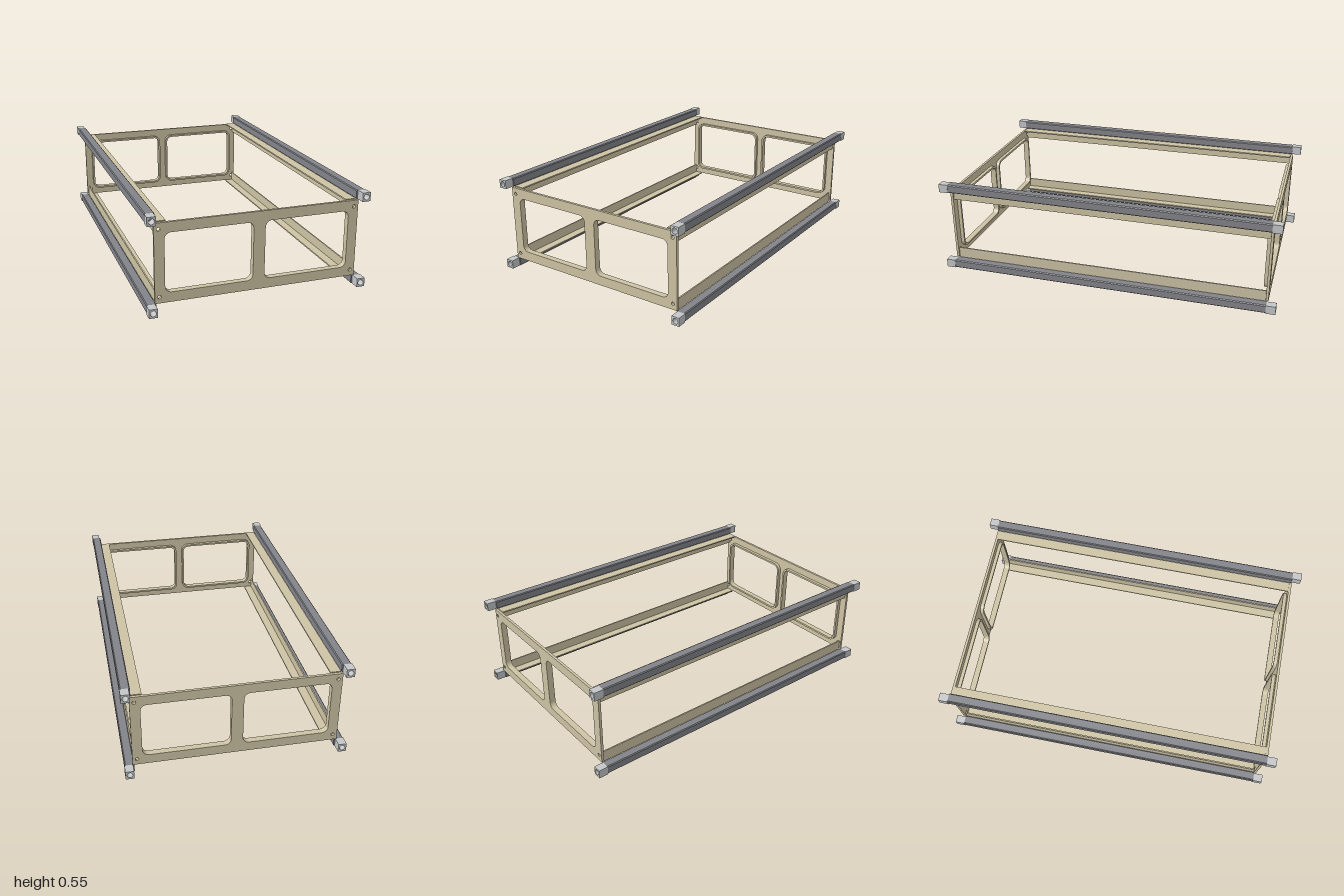
import * as THREE from 'three';

const mat = (name, color) => {
  const m = new THREE.MeshStandardMaterial({ color });
  m.name = name;
  return m;
};

// Rounded rectangle outline, usable as a shape or as a hole
function roundRect(Kind, x0, y0, x1, y1, r) {
  const p = new Kind();
  p.absarc(x1 - r, y0 + r, r, -Math.PI / 2, 0);
  p.absarc(x1 - r, y1 - r, r, 0, Math.PI / 2);
  p.absarc(x0 + r, y1 - r, r, Math.PI / 2, Math.PI);
  p.absarc(x0 + r, y0 + r, r, Math.PI, Math.PI * 1.5);
  p.closePath();
  return p;
}

const polygon = pts => new THREE.Shape(pts.map(([x, y]) => new THREE.Vector2(x, y)));

const circleHole = (x, y, r) => {
  const p = new THREE.Path();
  p.absarc(x, y, r, 0, Math.PI * 2, true);
  return p;
};

// Extrude a shape drawn in x,y from z0 to z1
function extrude(shape, z0, z1) {
  const g = new THREE.ExtrudeGeometry(shape, { depth: z1 - z0, bevelEnabled: false, curveSegments: 8 });
  g.translate(0, 0, z0);
  return g;
}

export function createModel() {
  const tan = mat('tan sheet metal', 0xcdc3a4);
  const dark = mat('dark grey rail', 0x83848a);
  const light = mat('light grey cap', 0xc4c6c7);
  const root = new THREE.Group();
  root.name = 'frame';
  const add = (parent, name, geo, m) => {
    const mesh = new THREE.Mesh(geo, m);
    mesh.name = name;
    parent.add(mesh);
  };

  // End panels: plate with two windows, and a raised rim behind each window
  const plate = polygon([[-0.573, 0.055], [0.573, 0.055], [0.573, 0.497], [-0.573, 0.497]]);
  const rims = [];
  for (const [a, b] of [[-0.517, -0.033], [0.033, 0.517]]) {
    plate.holes.push(roundRect(THREE.Path, a, 0.111, b, 0.44, 0.035));
    const rim = roundRect(THREE.Shape, a - 0.012, 0.099, b + 0.012, 0.452, 0.045);
    rim.holes.push(roundRect(THREE.Path, a, 0.111, b, 0.44, 0.035));
    rims.push(extrude(rim, 0.917, 0.938));
  }
  for (const x of [-0.548, 0.548])
    for (const y of [0.09, 0.462]) plate.holes.push(circleHole(x, y, 0.01));
  const plateGeo = extrude(plate, 0.938, 0.953);
  for (const [name, turn] of [['frontPanel', 0], ['backPanel', Math.PI]]) {
    const panel = new THREE.Group();
    panel.name = name;
    panel.rotation.y = turn;
    add(panel, 'plate', plateGeo, tan);
    rims.forEach(g => add(panel, 'windowRim', g, tan));
    root.add(panel);
  }

  // Bottom left corner profile; the other three are turned about the frame's long axis or end for end
  const angle = polygon([[0.505, 0.048], [0.564, 0.048], [0.564, 0.113],
    [0.556, 0.113], [0.556, 0.056], [0.505, 0.056]]);
  const c = 0.005, x0 = 0.563, x1 = 0.616, h = 0.05;
  const rail = polygon([[x0 + c, 0], [x1 - c, 0], [x1, c], [x1, h - c],
    [x1 - c, h], [x0 + c, h], [x0, h - c], [x0, c]]);
  const cap = polygon([[0.571, 0], [0.618, 0], [0.618, h], [0.571, h]]);
  cap.holes.push(circleHole(0.5945, 0.025, 0.016));
  const angleGeo = extrude(angle, -0.937, 0.937);
  const railGeo = extrude(rail, -0.945, 0.945);
  const capGeos = [extrude(cap, 0.945, 1), extrude(cap, -1, -0.945)];

  for (const [name, rx, ry] of [['bottomLeftRail', 0, 0], ['bottomRightRail', 0, Math.PI],
    ['topLeftRail', Math.PI, 0], ['topRightRail', Math.PI, Math.PI]]) {
    const corner = new THREE.Group();
    corner.name = name;
    corner.rotation.set(rx, ry, 0);
    if (rx) corner.position.y = 0.55;
    add(corner, 'angleStrip', angleGeo, tan);
    add(corner, 'rail', railGeo, dark);
    capGeos.forEach(g => add(corner, 'endCap', g, light));
    root.add(corner);
  }
  return root;
}
